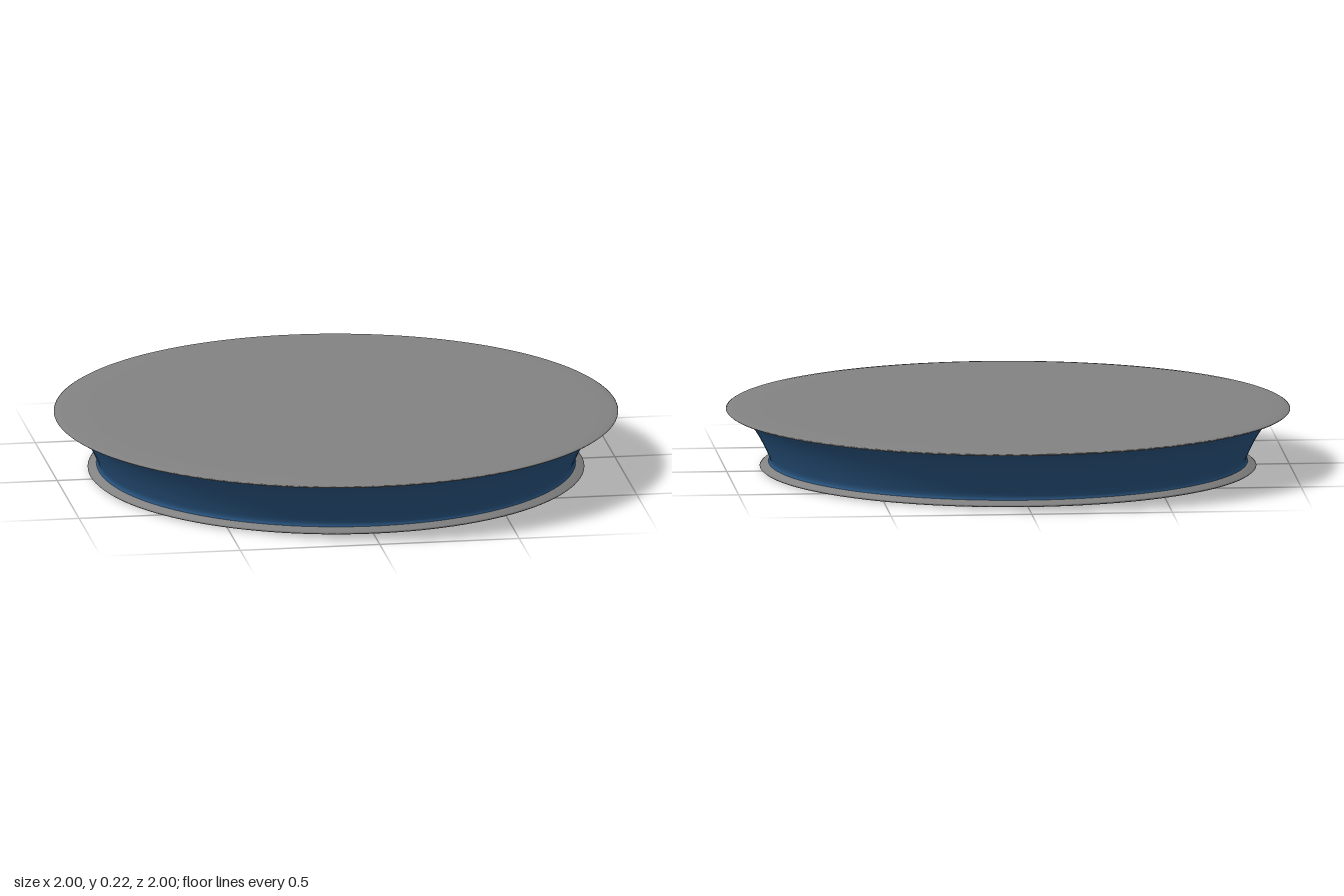
import * as THREE from 'three';

const SEGMENTS = 128;

// Revolve a [radius, height] profile, listed from bottom to top
function turned(name, profile, material) {
  const points = profile.map(([r, y]) => new THREE.Vector2(r, y));
  const mesh = new THREE.Mesh(new THREE.LatheGeometry(points, SEGMENTS), material);
  mesh.name = name;
  return mesh;
}

export function createModel() {
  const grey = new THREE.MeshStandardMaterial({ color: 0x828282 });
  grey.name = 'grey';
  const blue = new THREE.MeshStandardMaterial({ color: 0x26507a, side: THREE.DoubleSide });
  blue.name = 'dark blue';

  const group = new THREE.Group();
  group.name = 'flaredDisc';

  // Lower plate with a thin tapered lip
  group.add(turned('basePlate', [
    [0, 0], [0.8, 0], [0.85, 0.002], [0.875, 0.005], [0.88, 0.009],
    [0.875, 0.013], [0.86, 0.019], [0.845, 0.028], [0.83, 0.028],
  ], grey));

  // Concave wall flaring out towards the top
  const wall = new THREE.CatmullRomCurve3([
    [0.851, 0.023], [0.845, 0.035], [0.855, 0.065], [0.88, 0.115],
    [0.908, 0.16], [0.93, 0.187], [0.953, 0.203],
  ].map(([r, y]) => new THREE.Vector3(r, y, 0)));
  group.add(turned('flaredWall', wall.getPoints(24).map(p => [p.x, p.y]), blue));

  // Upper plate, very slightly domed, with a thin rim
  group.add(turned('topPlate', [
    [0, 0.202], [0.95, 0.202], [0.975, 0.206], [0.995, 0.209], [1, 0.213],
    [0.995, 0.216], [0.97, 0.219], [0.86, 0.222], [0, 0.223],
  ], grey));

  return group;
}
